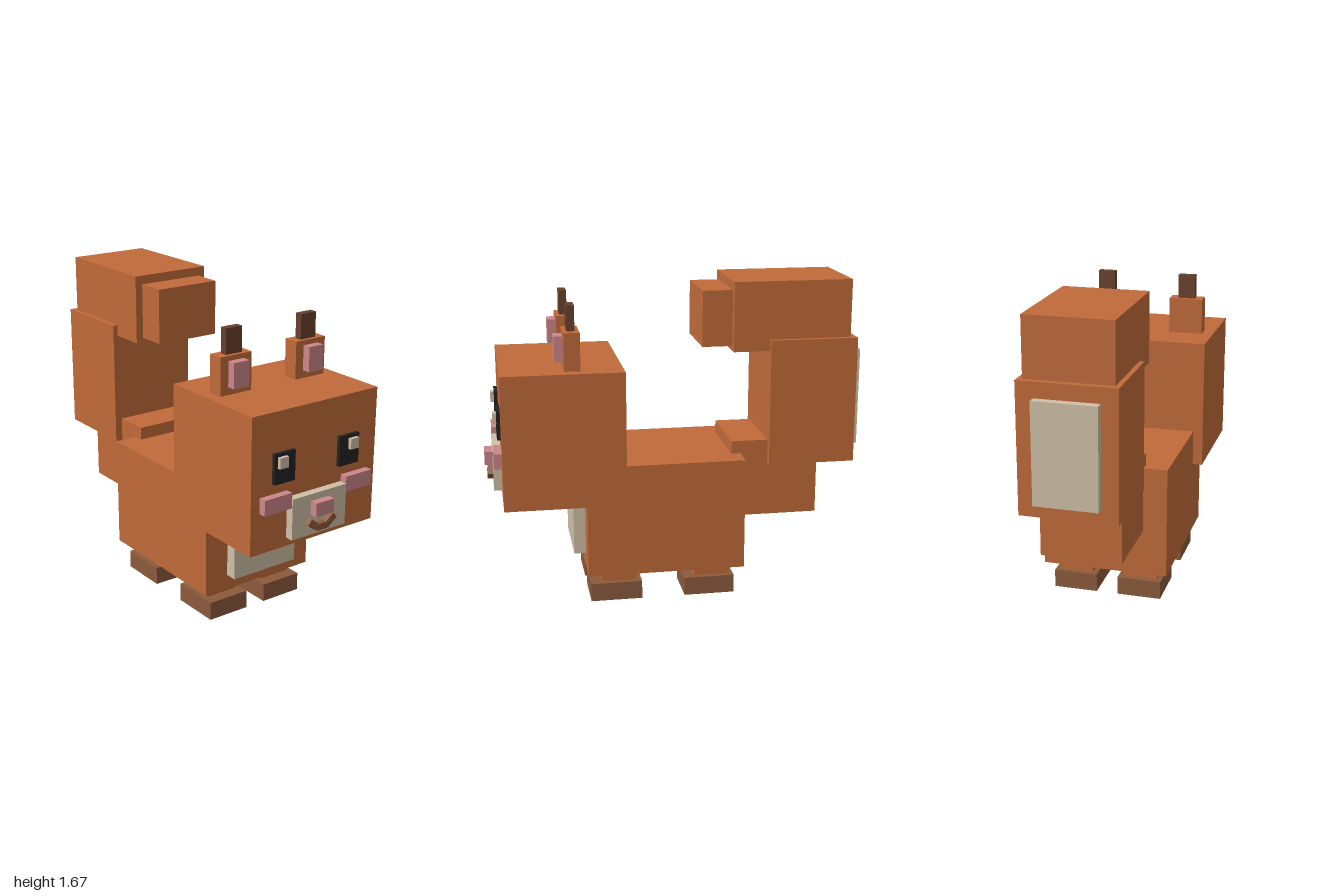
import * as THREE from 'three';

const mat = (name, color) => {
  const m = new THREE.MeshStandardMaterial({ color });
  m.name = name;
  return m;
};

export function createModel() {
  const fur = mat('orange fur', 0xc06a39);
  const cream = mat('cream', 0xcfbfa6);
  const pink = mat('pink', 0xcc868a);
  const brown = mat('brown', 0x8b5a3c);
  const dark = mat('dark brown', 0x68402c);
  const black = mat('black', 0x222222);

  const model = new THREE.Group();
  model.name = 'squirrel';

  // Box given by its extents on each axis
  const box = (name, material, [x0, x1], [y0, y1], [z0, z1]) => {
    const mesh = new THREE.Mesh(new THREE.BoxGeometry(x1 - x0, y1 - y0, z1 - z0), material);
    mesh.position.set((x0 + x1) / 2, (y0 + y1) / 2, (z0 + z1) / 2);
    mesh.name = name;
    model.add(mesh);
    return mesh;
  };
  // Box centred on x = 0
  const mid = (name, material, half, y, z) => box(name, material, [-half, half], y, z);
  // Mirrored pair of boxes
  const pair = (name, material, [x0, x1], y, z) => {
    box(name + 'Left', material, [x0, x1], y, z);
    box(name + 'Right', material, [-x1, -x0], y, z);
  };

  // Body and head
  mid('body', fur, 0.337, [0.16, 0.757], [-0.345, 0.488]);
  mid('belly', cream, 0.2, [0.24, 0.535], [0.488, 0.55]);
  mid('head', fur, 0.39, [0.563, 1.265], [0.288, 0.915]);

  // Legs and feet
  pair('frontLeg', fur, [0.085, 0.27], [0.1, 0.16], [0.23, 0.41]);
  pair('frontFoot', brown, [0.058, 0.295], [0, 0.098], [0.2, 0.472]);
  pair('backLeg', fur, [0.085, 0.27], [0.1, 0.16], [-0.275, -0.085]);
  pair('backFoot', brown, [0.058, 0.295], [0, 0.098], [-0.3, -0.03]);

  // Ears with pink insides and dark tufts
  pair('ear', fur, [0.14, 0.327], [1.265, 1.46], [0.508, 0.59]);
  pair('innerEar', pink, [0.188, 0.28], [1.305, 1.435], [0.59, 0.635]);
  pair('earTuft', dark, [0.185, 0.28], [1.46, 1.59], [0.53, 0.57]);

  // Face
  pair('eye', black, [0.14, 0.265], [0.907, 1.062], [0.915, 0.934]);
  for (const x of [-0.222, 0.222]) {
    box('eyeHighlight', cream, [x - 0.026, x + 0.026], [0.99, 1.045], [0.934, 0.953]);
  }
  mid('muzzle', cream, 0.17, [0.607, 0.82], [0.915, 0.958]);
  pair('cheek', pink, [0.172, 0.338], [0.775, 0.855], [0.915, 0.955]);
  mid('nose', pink, 0.056, [0.713, 0.785], [0.958, 1]);

  // Smile: a short bar with two slanted ends
  mid('mouth', brown, 0.04, [0.633, 0.667], [0.958, 0.988]);
  for (const s of [-1, 1]) {
    const end = box('mouthCorner', brown, [-0.029, 0.029], [-0.018, 0.018], [0.958, 0.985]);
    end.position.x = 0.057 * s;
    end.position.y = 0.67;
    end.rotation.z = 0.66 * s;
  }

  // Curled tail
  mid('tailBase', fur, 0.21, [0.407, 0.825], [-0.765, -0.295]);
  mid('tailMiddle', fur, 0.25, [0.697, 1.37], [-0.957, -0.492]);
  mid('tailPatch', cream, 0.163, [0.77, 1.29], [-1, -0.957]);
  mid('tailTop', fur, 0.224, [1.31, 1.675], [-0.924, -0.298]);
  mid('tailTip', fur, 0.183, [1.335, 1.628], [-0.298, -0.14]);

  return model;
}
